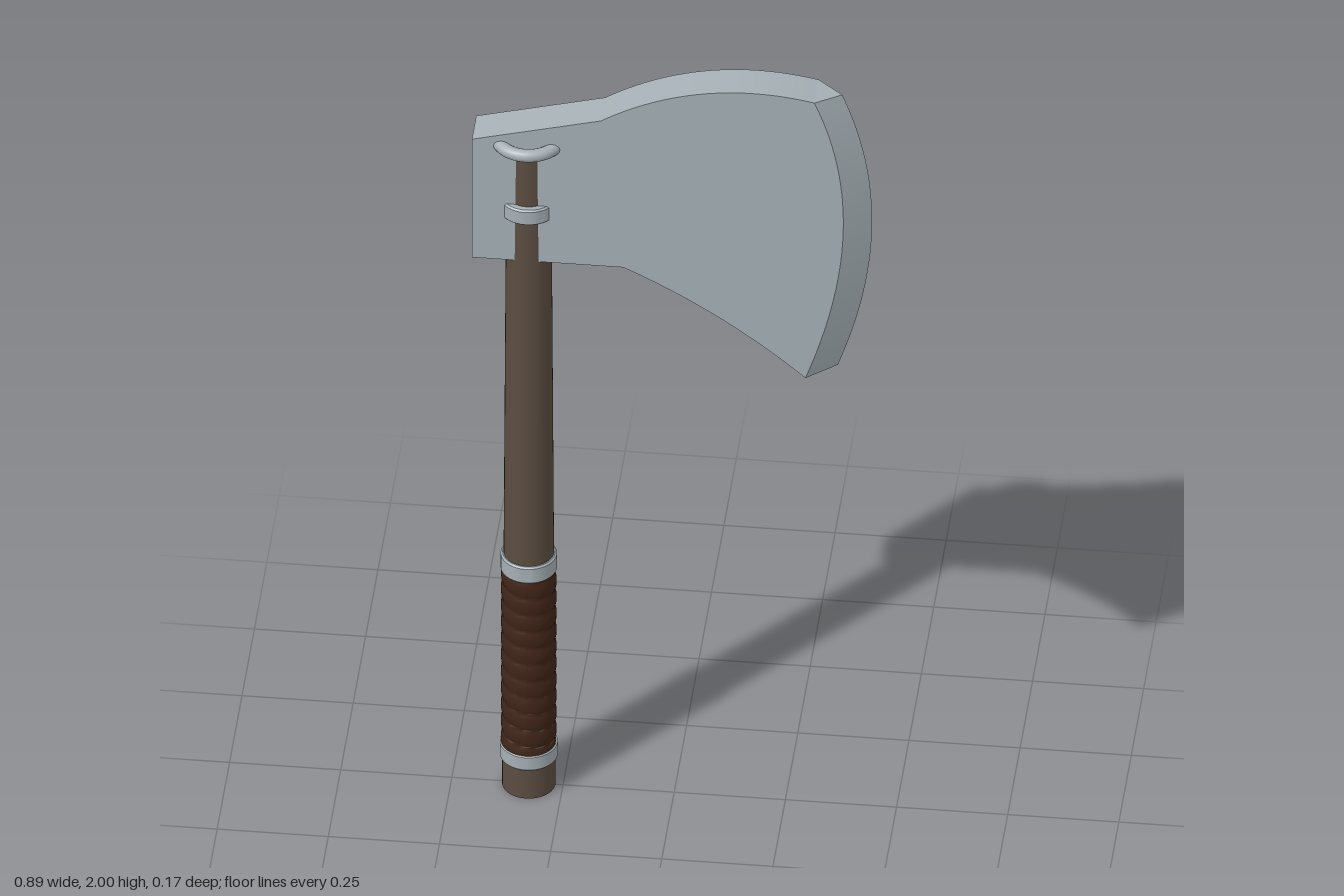
import * as THREE from 'three';
import { toCreasedNormals } from 'three/addons/utils/BufferGeometryUtils.js';

const HALF = 0.044;       // half thickness of the head
const HANDLE_X = -0.327;  // handle axis

export function createModel() {
  const group = new THREE.Group();
  group.name = 'axe';
  const material = (name, color) => {
    const m = new THREE.MeshStandardMaterial({ color });
    m.name = name;
    return m;
  };
  const steel = material('steel', 0xa5afb5);
  const wood = material('wood', 0x5b4d41);
  const leather = material('leather', 0x402518);

  const add = (name, geometry, mat, x = 0, y = 0) => {
    const mesh = new THREE.Mesh(geometry, mat);
    mesh.name = name;
    mesh.position.set(x, y, 0);
    group.add(mesh);
    return mesh;
  };

  // Head plate: outline with a raised shoulder, sweeping beard and curved front
  const outline = new THREE.Shape();
  outline.moveTo(-0.45, 1.82);
  outline.lineTo(-0.45, 1.49);
  outline.lineTo(-0.11, 1.49);
  outline.quadraticCurveTo(0.11, 1.387, 0.3, 1.215);
  outline.quadraticCurveTo(0.46, 1.66, 0.32, 1.985);
  outline.bezierCurveTo(0.13, 2.025, -0.03, 1.98, -0.16, 1.895);
  outline.closePath();
  const plate = new THREE.ExtrudeGeometry(outline, { depth: HALF * 2, bevelEnabled: false, curveSegments: 24 });
  plate.translate(0, 0, -HALF);
  add('headPlate', toCreasedNormals(plate, 0.25), steel);

  // Cutting edge: wedge from the plate's front curve to a sharp line
  const v = (x, y) => new THREE.Vector2(x, y);
  const N = 24;
  const inner = new THREE.QuadraticBezierCurve(v(0.3, 1.215), v(0.46, 1.66), v(0.32, 1.985)).getPoints(N);
  const outer = new THREE.QuadraticBezierCurve(v(0.368, 1.225), v(0.517, 1.64), v(0.378, 1.98)).getPoints(N);
  const positions = [];
  const index = [];
  for (let i = 0; i <= N; i++) {
    const a = inner[i], e = outer[i];
    positions.push(a.x, a.y, HALF, e.x, e.y, 0, a.x, a.y, -HALF);
    if (i === N) break;
    for (let k = 0; k < 2; k++) {
      const p = i * 3 + k;
      index.push(p, p + 1, p + 4, p, p + 4, p + 3);
    }
  }
  index.push(0, 2, 1, N * 3, N * 3 + 1, N * 3 + 2);
  const wedge = new THREE.BufferGeometry();
  wedge.setAttribute('position', new THREE.Float32BufferAttribute(positions, 3));
  wedge.setIndex(index);
  add('cuttingEdge', toCreasedNormals(wedge, 0.3), steel);

  // Tapered handle passing through the head
  add('handle', new THREE.CylinderGeometry(0.05, 0.06, 1.8, 40), wood, HANDLE_X, 0.9);

  // Leather grip: cylinder pushed into a spiral of wrapped strips
  const gripHeight = 0.5, pitch = 0.046;
  const grip = new THREE.CylinderGeometry(0.06, 0.06, gripHeight, 40, 110, true);
  const pos = grip.attributes.position;
  for (let i = 0; i < pos.count; i++) {
    const x = pos.getX(i), y = pos.getY(i), z = pos.getZ(i);
    const phase = y / pitch - Math.atan2(z, x) / (2 * Math.PI);
    const bulge = Math.pow(Math.abs(Math.sin(Math.PI * phase)), 0.5);
    const s = (0.0575 + 0.005 * bulge) / Math.hypot(x, z);
    pos.setXYZ(i, x * s, y, z * s);
  }
  grip.computeVertexNormals();
  add('gripWrap', grip, leather, HANDLE_X, 0.36);

  // Metal bands around the grip ends and the head
  const band = (name, y, r, h) => {
    const b = 0.004;
    const profile = [[0.04, -h / 2], [r - b, -h / 2], [r, -h / 2 + b], [r, h / 2 - b], [r - b, h / 2], [0.04, h / 2]];
    const geo = new THREE.LatheGeometry(profile.map(([px, py]) => v(px, py)), 40);
    add(name, toCreasedNormals(geo, 0.5), steel, HANDLE_X, y);
  };
  band('lowerGripBand', 0.1, 0.065, 0.042);
  band('upperGripBand', 0.623, 0.063, 0.046);
  band('headBand', 1.625, 0.067, 0.042);

  // Rounded ring at the top of the handle
  const ring = add('topRing', new THREE.TorusGeometry(0.072, 0.015, 16, 48), steel, HANDLE_X, 1.805);
  ring.rotation.x = Math.PI / 2;

  return group;
}
